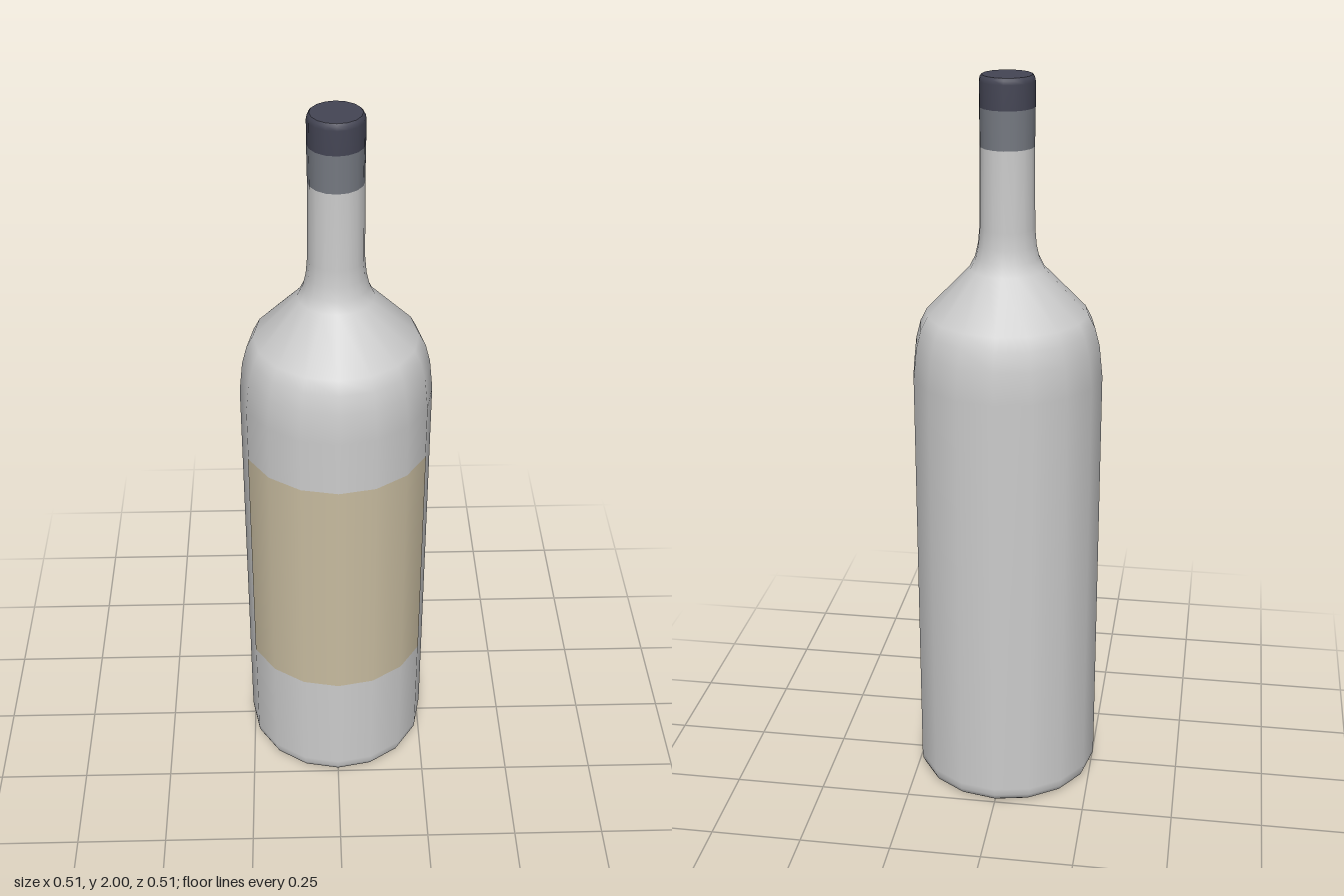
import * as THREE from 'three';

const SIDES = 16;

// Revolved surface from [radius, height] pairs
function lathe(name, profile, color, segments = SIDES, start = 0, sweep = Math.PI * 2) {
  const points = profile.map(([r, y]) => new THREE.Vector2(r, y));
  const geometry = new THREE.LatheGeometry(points, segments, start, sweep);
  const mesh = new THREE.Mesh(geometry, new THREE.MeshStandardMaterial({ color }));
  mesh.name = name;
  return mesh;
}

// Flat end disc facing up (dir = 1) or down (dir = -1)
function disc(name, radius, y, dir, color) {
  const geometry = new THREE.CircleGeometry(radius, SIDES);
  geometry.rotateX(-dir * Math.PI / 2);
  const mesh = new THREE.Mesh(geometry, new THREE.MeshStandardMaterial({ color }));
  mesh.name = name;
  mesh.position.y = y;
  return mesh;
}

export function createModel() {
  const bottle = new THREE.Group();
  bottle.name = 'bottle';
  const glass = 0xcccccc, foil = 0x757981, dark = 0x444554, paper = 0xc7bb9f;

  // Body, shoulder and neck
  bottle.add(lathe('glassBody', [
    [0.234, 0], [0.247, 0.01], [0.254, 0.025], [0.256, 0.045],
    [0.256, 1.21], [0.247, 1.295], [0.234, 1.345], [0.216, 1.38],
    [0.1, 1.5], [0.085, 1.53], [0.077, 1.565], [0.073, 1.61], [0.071, 1.82],
  ], glass));
  bottle.add(disc('base', 0.234, 0, -1, glass));

  // Paper label wrapped round six front facets
  const label = lathe('label', [[0.257, 0.36], [0.257, 1.055]], paper,
    6, -Math.PI * 3 / 8, Math.PI * 3 / 4);
  label.material.side = THREE.DoubleSide;
  bottle.add(label);

  // Foil collar and dark cap
  bottle.add(lathe('foilCollar', [[0.071, 1.82], [0.072, 1.92]], foil));
  bottle.add(lathe('cap', [[0.072, 1.92], [0.072, 1.984], [0.07, 1.994], [0.065, 2]], dark));
  bottle.add(disc('capTop', 0.065, 2, 1, dark));

  return bottle;
}
